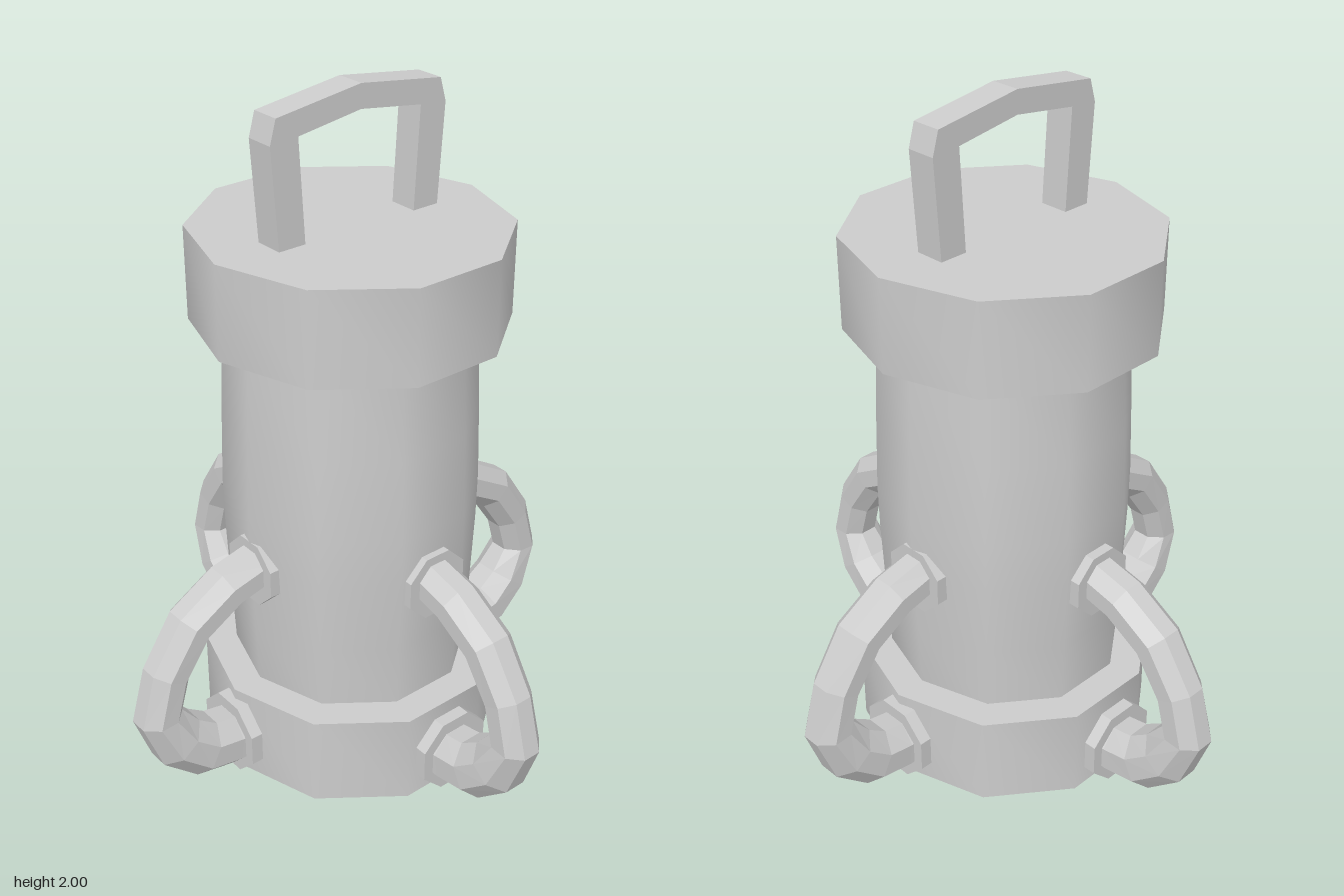
import * as THREE from 'three';
import { toCreasedNormals } from 'three/addons/utils/BufferGeometryUtils.js';

const smooth = new THREE.MeshStandardMaterial({ color: 0xcccccc });
const flat = new THREE.MeshStandardMaterial({ color: 0xcccccc, flatShading: true });
const SIDES = 10;
const Z_STRETCH = 1.035;
const OFFSET_X = -0.006;

function mesh(name, geometry, material) {
  const m = new THREE.Mesh(geometry, material);
  m.name = name;
  return m;
}

// Ten-sided turned part, corners on the x axis
function turned(name, profile) {
  const points = profile.map(([r, y]) => new THREE.Vector2(r, y));
  const geo = new THREE.LatheGeometry(points, SIDES, Math.PI / 2);
  geo.scale(1, 1, Z_STRETCH);
  return mesh(name, toCreasedNormals(geo, 0.7), smooth);
}

// Octagonal pipe: a cylinder bent along [distance, height, radius] stations
function bentPipe(stations) {
  const n = stations.length - 1;
  const geo = new THREE.CylinderGeometry(1, 1, 1, 8, n, false, Math.PI / 8);
  const pos = geo.attributes.position;
  for (let k = 0; k < pos.count; k++) {
    const i = Math.round((pos.getY(k) + 0.5) * n);
    const [cx, cy, r] = stations[i];
    const a = stations[Math.max(i - 1, 0)];
    const b = stations[Math.min(i + 1, n)];
    const t = new THREE.Vector2(b[0] - a[0], b[1] - a[1]).normalize();
    const u = pos.getX(k) * r;
    pos.setXYZ(k, cx + t.y * u, cy - t.x * u, pos.getZ(k) * r);
  }
  geo.computeVertexNormals();
  return mesh('pipe', geo, flat);
}

// Octagonal collar facing outward along x
function collar(name, radius, thickness, x, y) {
  const geo = new THREE.CylinderGeometry(radius, radius, thickness, 8, 1, false, Math.PI / 8);
  geo.rotateZ(-Math.PI / 2);
  geo.translate(x, y, 0);
  return mesh(name, geo, flat);
}

export function createModel() {
  const model = new THREE.Group();
  model.name = 'canister';

  // Base with bevelled underside and a central socket
  const core = new THREE.Group();
  core.name = 'core';
  core.position.set(OFFSET_X, 0, 0.004);
  core.add(turned('base', [
    [0, 0.2], [0.1, 0.2], [0.1, 0], [0.35, 0], [0.427, 0.035], [0.427, 0.31], [0.3, 0.31],
  ]));

  // Slightly bulging body
  core.add(turned('body', [
    [0.337, 0.3], [0.346, 0.5], [0.355, 0.72], [0.357, 0.86], [0.35, 1.1], [0.338, 1.37],
  ]));

  // Lid
  core.add(turned('lid', [[0, 1.36], [0.427, 1.36], [0.427, 1.625], [0, 1.625]]));
  model.add(core);

  // Peaked carrying handle
  const outline = [
    [-0.26, 1.6], [-0.281, 1.9], [-0.262, 1.965], [0, 2], [0.262, 1.965], [0.281, 1.9], [0.26, 1.6],
    [0.178, 1.6], [0.196, 1.907], [0, 1.935], [-0.196, 1.907], [-0.178, 1.6],
  ].map(([x, y]) => new THREE.Vector2(x, y));
  const handleGeo = new THREE.ExtrudeGeometry(new THREE.Shape(outline), {
    depth: 0.085, bevelEnabled: false,
  });
  handleGeo.translate(OFFSET_X, 0, -0.04);
  model.add(mesh('handle', handleGeo, flat));

  // Four looping pipes with collars, front, back and both sides
  const stations = [
    [0.4, 0.16, 0.088], [0.46, 0.16, 0.088], [0.55, 0.178, 0.09], [0.63, 0.245, 0.084],
    [0.682, 0.35, 0.069], [0.645, 0.48, 0.067], [0.56, 0.605, 0.069],
    [0.44, 0.675, 0.069], [0.32, 0.703, 0.068],
  ];
  for (let i = 0; i < 4; i++) {
    const assembly = new THREE.Group();
    assembly.name = 'pipeAssembly' + (i + 1);
    assembly.add(
      bentPipe(stations),
      collar('lowerCollar', 0.122, 0.036, 0.432, 0.165),
      collar('upperCollar', 0.103, 0.04, 0.335, 0.69),
    );
    const angle = i * Math.PI / 2;
    const shift = i % 2 ? 0.02 : 0;
    assembly.rotation.y = angle;
    assembly.position.set(OFFSET_X + shift * Math.cos(angle), 0, -shift * Math.sin(angle));
    model.add(assembly);
  }
  return model;
}
